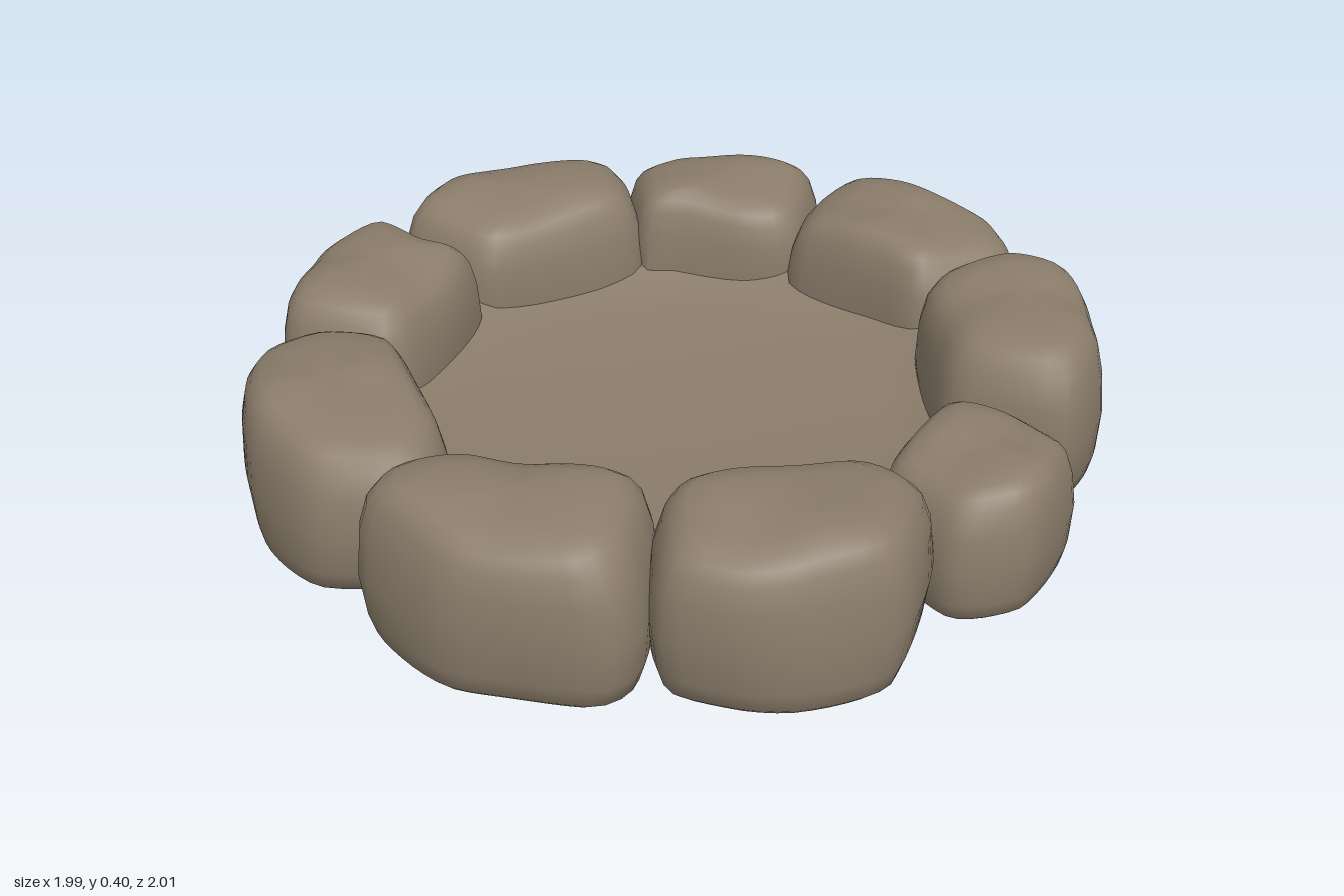
import * as THREE from 'three';
import { mergeVertices, toCreasedNormals } from 'three/addons/utils/BufferGeometryUtils.js';

const SEGMENTS = 44;
// Vertical profile of every stone: [fraction of height, outline scale]
const PROFILE = [
  [0, 0], [0, 0.86], [0.03, 0.91], [0.15, 0.96], [0.42, 1], [0.68, 0.965],
  [0.84, 0.9], [0.92, 0.82], [0.97, 0.71], [0.995, 0.5], [1, 0.25], [1, 0],
];

// Soft boulder: a closed plan outline lofted through the profile, with gently skewed facets
function stoneGeometry(height, outline, seed) {
  const corners = [];
  for (let i = 0; i < outline.length; i += 2) corners.push(new THREE.Vector3(outline[i], 0, outline[i + 1]));
  const centre = corners.reduce((sum, p) => sum.add(p), new THREE.Vector3()).divideScalar(corners.length);
  const angleOf = (p) => Math.atan2(p.z - centre.z, p.x - centre.x);
  corners.sort((a, b) => angleOf(a) - angleOf(b));
  const plan = new THREE.CatmullRomCurve3(corners, true, 'catmullrom', 0.35).getSpacedPoints(SEGMENTS).slice(0, SEGMENTS);

  const positions = [], index = [];
  for (const [v, scale] of PROFILE) {
    for (const p of plan) {
      const a = angleOf(p);
      const skew = 1 + 0.06 * Math.sin(3 * a + seed * 2.1) * (v - 0.42);
      const s = scale * skew;
      const slope = v > 0.5 ? (v - 0.5) * 0.04 * scale * Math.sin(a * 2 + seed) : 0;
      positions.push(centre.x + (p.x - centre.x) * s, v * height + slope, centre.z + (p.z - centre.z) * s);
    }
  }
  const last = PROFILE.length - 1;
  for (let r = 0; r < last; r++) {
    for (let i = 0; i < SEGMENTS; i++) {
      const j = (i + 1) % SEGMENTS;
      const a = r * SEGMENTS + i, b = r * SEGMENTS + j;
      const c = a + SEGMENTS, d = b + SEGMENTS;
      if (r > 0) index.push(a, c, b);
      if (r < last - 1) index.push(b, c, d);
    }
  }
  // The first and last rings are single points, so their fans use one triangle per side
  const geometry = new THREE.BufferGeometry();
  geometry.setAttribute('position', new THREE.Float32BufferAttribute(positions, 3));
  geometry.setIndex(index);
  return toCreasedNormals(mergeVertices(geometry), 0.8);
}

export function createModel() {
  const model = new THREE.Group();
  model.name = 'stoneRing';
  const stone = new THREE.MeshStandardMaterial({ color: 0x8b7d6b });
  stone.name = 'warm grey stone';

  let seed = 0;
  const addStone = (name, height, outline) => {
    const mesh = new THREE.Mesh(stoneGeometry(height, outline, ++seed), stone);
    mesh.name = name;
    model.add(mesh);
  };

  // Ring of boulders; outlines are x, z pairs
  addStone('backStone', 0.38, [-0.42, -0.8, -0.3, -0.92, -0.12, -1, 0.03, -0.99, 0.2, -0.88, 0.16, -0.63, -0.22, -0.58, -0.31, -0.63]);
  addStone('backLeftStone', 0.365, [0.16, -0.64, 0.22, -0.88, 0.36, -0.93, 0.53, -0.82, 0.68, -0.66, 0.53, -0.46, 0.4, -0.48, 0.24, -0.59]);
  addStone('leftRearStone', 0.365, [0.48, -0.42, 0.57, -0.55, 0.74, -0.62, 0.86, -0.51, 0.98, -0.25, 0.93, -0.06, 0.68, -0.05, 0.59, -0.2]);
  addStone('leftFrontStone', 0.39, [0.6, 0.04, 0.7, -0.04, 0.88, -0.05, 0.99, 0.06, 0.97, 0.22, 0.88, 0.43, 0.71, 0.55, 0.51, 0.36]);
  addStone('frontLeftStone', 0.315, [0.23, 0.6, 0.33, 0.49, 0.48, 0.41, 0.6, 0.5, 0.67, 0.66, 0.56, 0.79, 0.44, 0.86, 0.28, 0.82]);
  addStone('frontStone', 0.38, [-0.38, 0.82, -0.33, 0.64, -0.23, 0.56, 0.2, 0.59, 0.27, 0.76, 0.09, 0.99, -0.13, 0.99, -0.26, 0.94]);
  addStone('frontRightStone', 0.385, [-0.87, 0.39, -0.78, 0.29, -0.62, 0.28, -0.46, 0.39, -0.28, 0.56, -0.39, 0.79, -0.51, 0.83, -0.77, 0.65]);
  addStone('rightStone', 0.37, [-1, 0, -0.96, -0.25, -0.88, -0.37, -0.73, -0.39, -0.59, -0.24, -0.59, 0.15, -0.7, 0.31, -0.92, 0.22]);
  addStone('backRightStone', 0.37, [-0.8, -0.43, -0.77, -0.58, -0.65, -0.76, -0.46, -0.84, -0.37, -0.65, -0.29, -0.56, -0.42, -0.4, -0.59, -0.27]);

  // Packed floor, rising slightly where it meets the boulders
  const floorProfile = [[0, 0], [0.69, 0], [0.71, 0.1], [0.68, 0.18], [0.6, 0.145], [0.5, 0.128], [0, 0.125]]
    .map(([r, y]) => new THREE.Vector2(r, y));
  const floor = new THREE.Mesh(toCreasedNormals(new THREE.LatheGeometry(floorProfile, 64), 0.8), stone);
  floor.name = 'floor';
  model.add(floor);

  return model;
}
